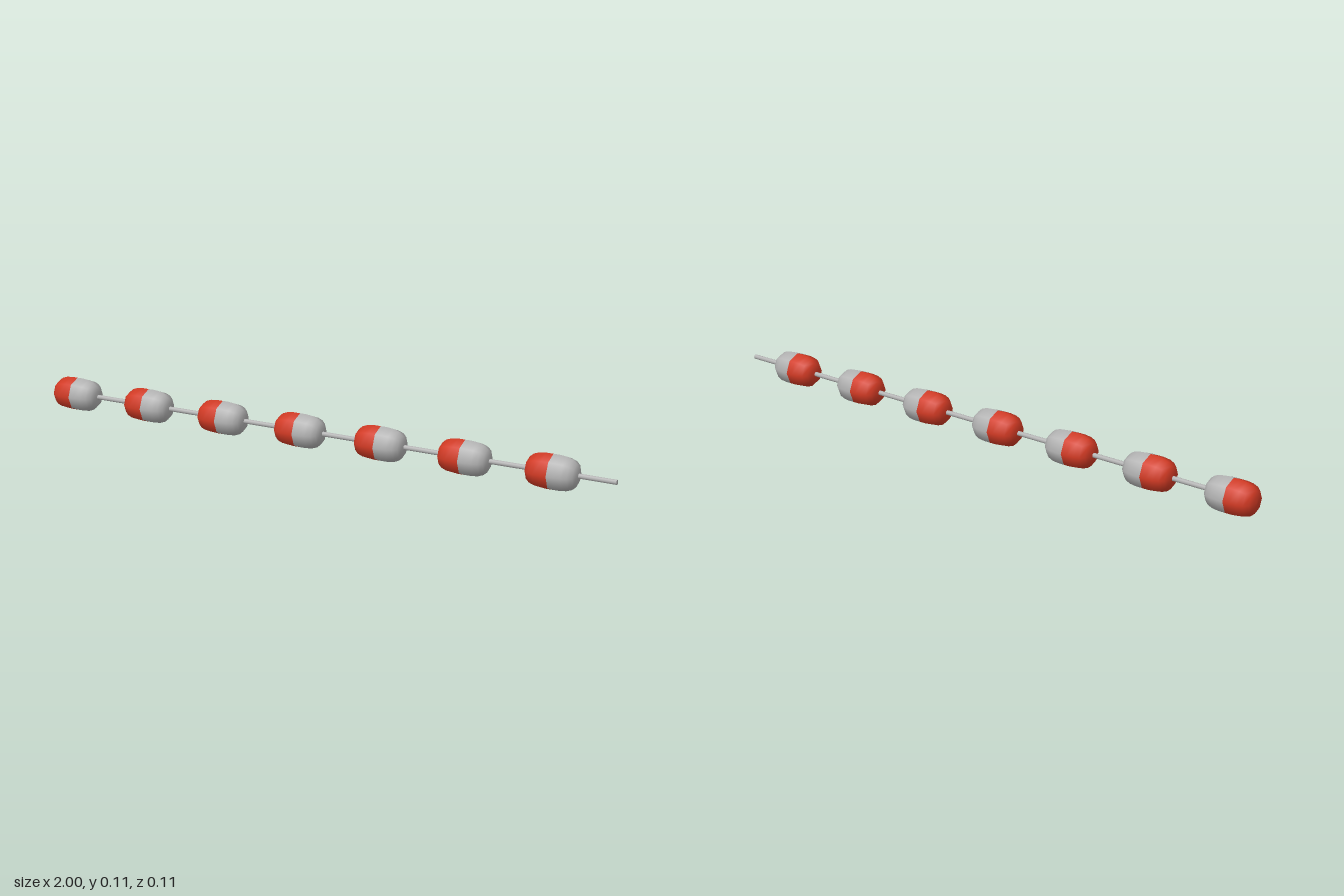
import * as THREE from 'three';

export function createModel() {
  const group = new THREE.Group();
  group.name = 'laneRope';

  const grey = new THREE.MeshStandardMaterial({ color: 0xb4b4b4 });
  grey.name = 'light grey';
  const red = new THREE.MeshStandardMaterial({ color: 0xd23a24 });
  red.name = 'float red';

  const radius = 0.056;
  const sides = 8;
  const floatCount = 7;
  const pitch = 0.286;

  // Half profile of a float, from its middle to its rounded tip: [radius, distance along the rope]
  const half = [
    [radius, 0], [radius, 0.022], [0.0535, 0.044], [0.047, 0.062],
    [0.036, 0.075], [0.02, 0.0815], [0, 0.083],
  ];
  const rightHalf = new THREE.LatheGeometry(half.map(([r, d]) => new THREE.Vector2(r, d)), sides);
  const leftHalf = new THREE.LatheGeometry(half.map(([r, d]) => new THREE.Vector2(r, -d)).reverse(), sides);
  for (const g of [rightHalf, leftHalf]) g.rotateZ(-Math.PI / 2);

  // Two-coloured floats, evenly spaced
  for (let i = 0; i < floatCount; i++) {
    const buoy = new THREE.Group();
    buoy.name = `float${i + 1}`;
    buoy.position.set(-0.917 + i * pitch, radius, 0);
    const redEnd = new THREE.Mesh(leftHalf, red);
    redEnd.name = 'redHalf';
    const greyEnd = new THREE.Mesh(rightHalf, grey);
    greyEnd.name = 'greyHalf';
    buoy.add(redEnd, greyEnd);
    group.add(buoy);
  }

  // Rope through all floats, with a free end
  const ropeStart = -0.92;
  const rope = new THREE.Mesh(new THREE.CylinderGeometry(0.008, 0.008, 1 - ropeStart, sides), grey);
  rope.name = 'rope';
  rope.rotation.z = -Math.PI / 2;
  rope.position.set((1 + ropeStart) / 2, radius, 0);
  group.add(rope);

  return group;
}
